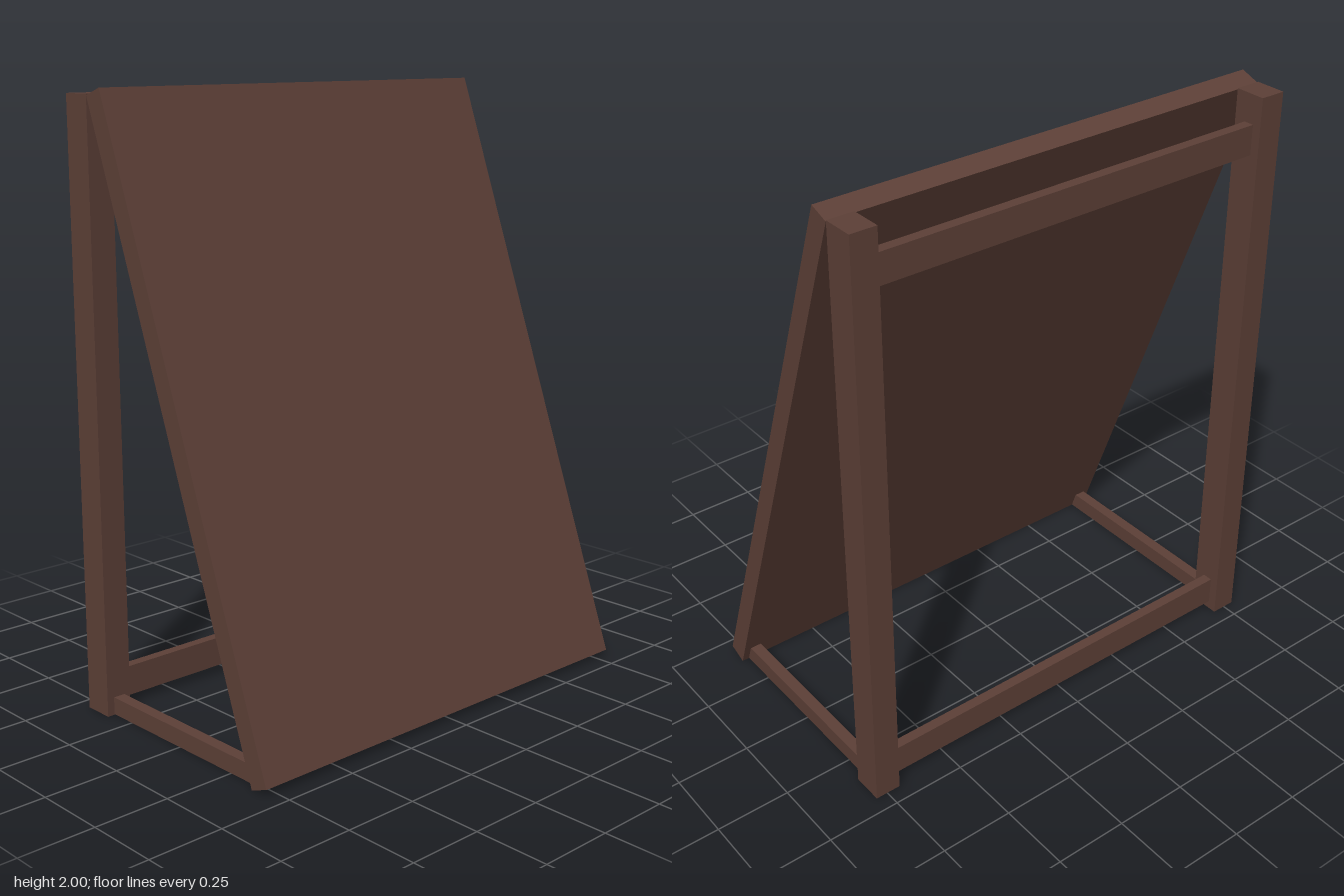
import * as THREE from 'three';

export function createModel() {
  const model = new THREE.Group();
  model.name = 'leaningBoardStand';
  const wood = new THREE.MeshStandardMaterial({ color: 0x5d4037 });
  wood.name = 'dark brown wood';

  // Box beam given by its extents along each axis
  function beam(name, [x0, x1], [y0, y1], [z0, z1]) {
    const mesh = new THREE.Mesh(new THREE.BoxGeometry(x1 - x0, y1 - y0, z1 - z0), wood);
    mesh.name = name;
    mesh.position.set((x0 + x1) / 2, (y0 + y1) / 2, (z0 + z1) / 2);
    model.add(mesh);
    return mesh;
  }

  // Sloping front board, leaning back 20 degrees
  const board = beam('frontBoard', [-0.79, 0.79], [-1.051, 1.051], [-0.035, 0.035]);
  board.position.set(0, 1, 0.052);
  board.rotation.x = -THREE.MathUtils.degToRad(20);

  // Rear posts and floor rails, one per side
  for (const [side, s] of [['left', 1], ['right', -1]]) {
    const span = (a, b) => (s > 0 ? [a, b] : [-b, -a]);
    beam(side + 'RearPost', span(0.702, 0.79), [0, 1.98], [-0.446, -0.341]);
    beam(side + 'FloorRail', span(0.725, 0.765), [0.002, 0.06], [-0.341, 0.376]);
  }

  // Crossbars between the posts
  beam('upperCrossbar', [-0.702, 0.702], [1.785, 1.885], [-0.416, -0.381]);
  beam('lowerCrossbar', [-0.702, 0.702], [0.03, 0.13], [-0.416, -0.381]);

  return model;
}
